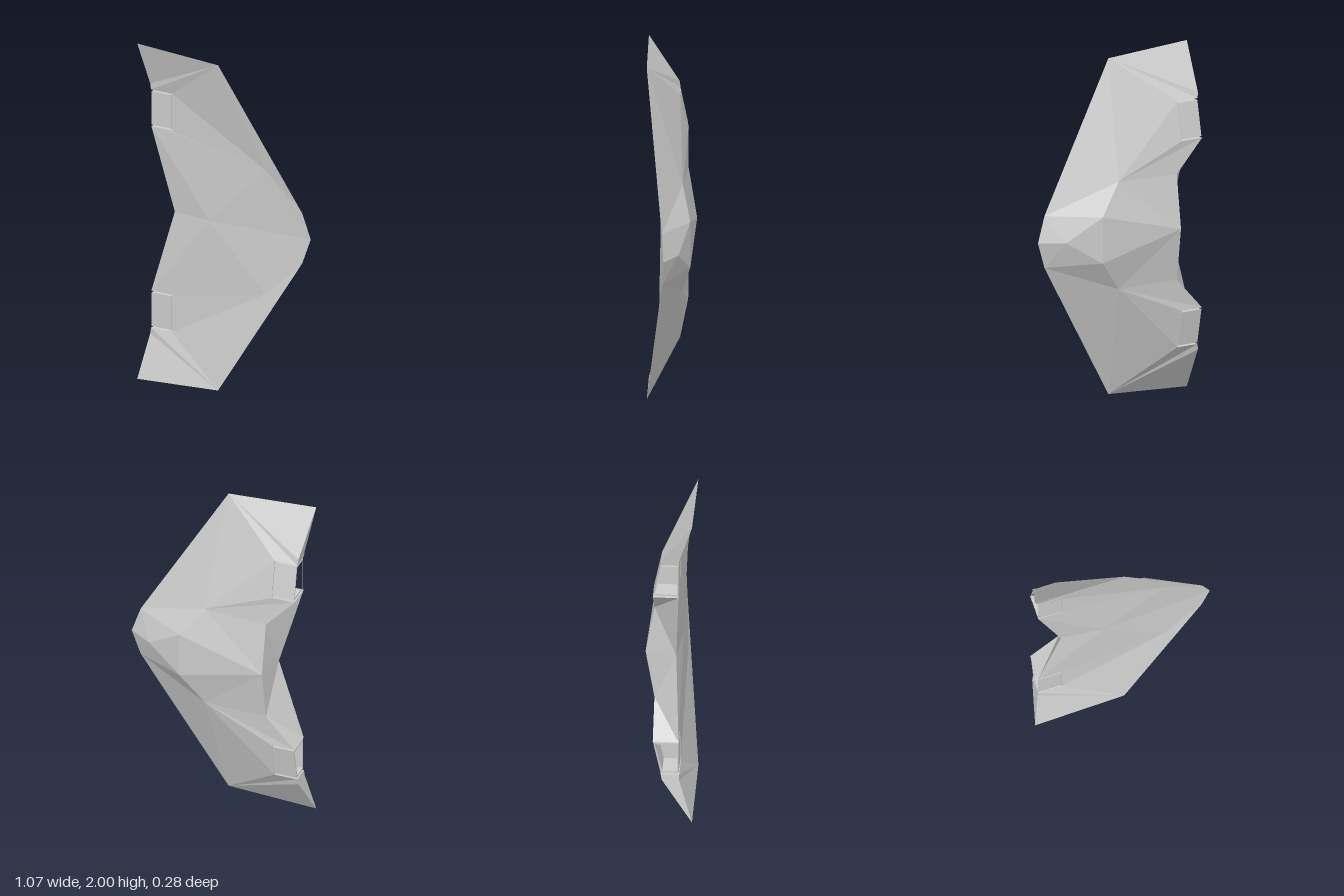
import * as THREE from 'three';

const material = new THREE.MeshStandardMaterial({ color: 0xcccccc, flatShading: true });

// Corners of one half: x, distance from the mid plane, z
const P = {
  nose: [0.53, 0, 0.03], shoulder: [0.48, 0.15, 0.04],
  tipFore: [-0.01, 0.97, 0.135], tipAft: [-0.535, 1, 0.135],
  // belly (+z)
  bellyMid: [-0.11, 0, 0.06], bellyOut: [0.254, 0.37, 0.06], bellyAft: [-0.35, 0, 0.035],
  kinkF: [-0.495, 0.745, 0.06],
  f1: [-0.49, 0.71, 0.06], f2: [-0.355, 0.71, 0.06], f3: [-0.355, 0.49, 0.056], f4: [-0.49, 0.49, 0.056],
  // upper hull (-z)
  ridgeAft: [-0.315, 0, -0.14], hipAft: [-0.32, 0.305, -0.09],
  ridgeMid: [0.19, 0, -0.113], ridgeOut: [0.19, 0.133, -0.113],
  hip: [0.055, 0.31, -0.068], brow: [0.395, 0, -0.052],
  kinkB: [-0.495, 0.745, -0.037],
  b1: [-0.49, 0.71, -0.044], b2: [-0.355, 0.71, -0.044], b3: [-0.355, 0.49, -0.088], b4: [-0.49, 0.49, -0.088],
};

// Faces as corner names, each group with the direction it looks towards
const SURFACES = [
  { dir: [0, 0, 1], faces: [
    'tipAft kinkF tipFore', 'kinkF f1 tipFore', 'f1 f2 tipFore', 'f2 bellyOut tipFore',
    'f2 f3 bellyOut', 'f3 f4 bellyOut', 'f4 bellyAft bellyMid', 'f4 bellyMid bellyOut',
    'bellyMid nose bellyOut', 'nose shoulder bellyOut', 'tipFore bellyOut shoulder'] },
  { dir: [0, 0, -1], faces: [
    'tipAft kinkB tipFore', 'kinkB b1 tipFore', 'b1 b2 tipFore', 'b2 hip tipFore',
    'b2 b3 hip', 'b3 b4 hip', 'b4 hipAft hip', 'hipAft ridgeAft hip', 'ridgeAft ridgeOut hip',
    'ridgeOut shoulder hip', 'tipFore hip shoulder', 'ridgeOut brow shoulder',
    'brow nose shoulder', 'ridgeAft ridgeMid ridgeOut', 'ridgeMid brow ridgeOut'] },
  // trailing faces and the end of the notch
  { dir: [-1, 0, 0], faces: [
    'ridgeAft hipAft bellyAft', 'hipAft f4 bellyAft', 'hipAft b4 f4',
    'tipAft kinkF kinkB', 'kinkF f1 b1 kinkB', 'f2 f3 b3 b2'] },
  // side walls of the notch
  { dir: [0, -1, 0], faces: ['f1 f2 b2 b1'] },
  { dir: [0, 1, 0], faces: ['f3 f4 b4 b3'] },
];

function hullHalf(side) {
  const pos = [];
  const at = (name) => new THREE.Vector3(P[name][0], 1 + side * P[name][1], P[name][2]);
  for (const { dir, faces } of SURFACES) {
    const out = new THREE.Vector3(dir[0], dir[1] * side, dir[2]);
    for (const face of faces) {
      const c = face.split(' ').map(at);
      for (let i = 1; i < c.length - 1; i++) {
        const t = [c[0], c[i], c[i + 1]];
        const n = t[1].clone().sub(t[0]).cross(t[2].clone().sub(t[0]));
        if (n.dot(out) < 0) t.reverse();
        t.forEach((v) => pos.push(v.x, v.y, v.z));
      }
    }
  }
  const geo = new THREE.BufferGeometry();
  geo.setAttribute('position', new THREE.Float32BufferAttribute(pos, 3));
  geo.computeVertexNormals();
  return new THREE.Mesh(geo, material);
}

// Open duct with a slanted back plate, sitting in the notch
function engineDuct(side) {
  const outline = (w, Path) => new Path([
    [-0.057, 0.5 + w], [-0.057, 0.7 - w], [0.045, 0.7 - w], [0.086, 0.5 + w],
  ].map(([x, t], i) => new THREE.Vector2(x + (i < 2 ? w : -w), side * t)));
  const shape = outline(0, THREE.Shape);
  shape.holes.push(outline(0.01, THREE.Path));
  const geo = new THREE.ExtrudeGeometry(shape, { depth: 0.13, bevelEnabled: false });
  geo.rotateY(Math.PI / 2);
  const mesh = new THREE.Mesh(geo, material);
  mesh.position.set(-0.487, 1, 0);
  return mesh;
}

export function createModel() {
  const model = new THREE.Group();
  model.name = 'wingedCraft';
  for (const [side, label] of [[1, 'upper'], [-1, 'lower']]) {
    const hull = hullHalf(side);
    hull.name = label + 'HullAndWing';
    const duct = engineDuct(side);
    duct.name = label + 'EngineDuct';
    model.add(hull, duct);
  }
  return model;
}
